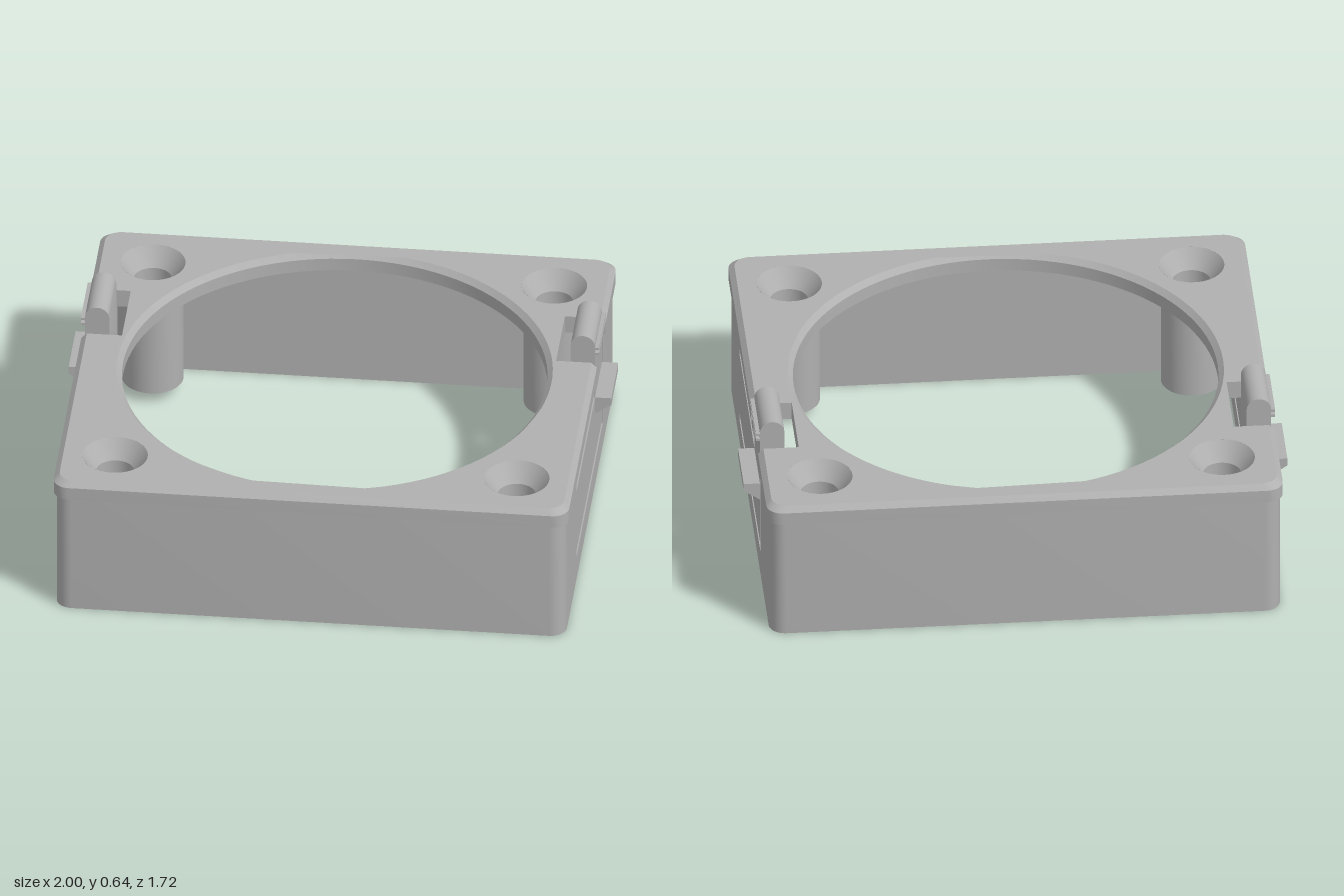
import * as THREE from 'three';
import { toCreasedNormals } from 'three/addons/utils/BufferGeometryUtils.js';

const plastic = new THREE.MeshStandardMaterial({ color: 0xb0b0b0 });
plastic.name = 'grey plastic';

function part(name, geometry, parent) {
  const mesh = new THREE.Mesh(toCreasedNormals(geometry, 0.5), plastic);
  mesh.name = name;
  parent.add(mesh);
  return mesh;
}

const polygon = (pts) => new THREE.Shape(pts.map(([x, y]) => new THREE.Vector2(x, y)));
const extrude = (shape, depth, steps = 1) =>
  new THREE.ExtrudeGeometry(shape, { depth, steps, bevelEnabled: false, curveSegments: 48 });

// Points on a quarter-turn (or longer) arc
function arc(cx, cy, r, from, to, n = 8) {
  return Array.from({ length: n + 1 }, (_, i) => {
    const a = from + ((to - from) * i) / n;
    return [cx + r * Math.cos(a), cy + r * Math.sin(a)];
  });
}

// Cover plate with side notches, fan opening, screw holes and a chamfered upper edge
function coverPlate() {
  const X = 0.95, Z = 0.86, R = 0.06, H = Math.PI / 2;
  const shape = polygon([
    ...arc(X - R, -Z + R, R, -H, 0),
    [X, 0.15], [0.8, 0.15], [0.8, 0.45], [X, 0.45],
    ...arc(X - R, Z - R, R, 0, H),
    ...arc(-X + R, Z - R, R, H, 2 * H),
    [-X, 0.45], [-0.8, 0.45], [-0.8, 0.15], [-X, 0.15],
    ...arc(-X + R, -Z + R, R, 2 * H, 3 * H),
  ]);
  const hole = (x, y, r) => shape.holes.push(new THREE.Path().absarc(x, y, r, 0, Math.PI * 2, true));
  hole(0, 0, 0.78);
  for (const x of [-0.74, 0.74]) for (const y of [-0.65, 0.65]) hole(x, y, 0.12);

  const g = extrude(shape, 0.07, 2);
  const p = g.attributes.position;
  for (let i = 0; i < p.count; i++) {
    let x = p.getX(i), y = p.getY(i);
    const z = p.getZ(i);
    if (z > 0.06) {
      if (Math.abs(Math.hypot(x, y) - 0.78) < 0.002) {
        x *= 0.8 / 0.78;
        y *= 0.8 / 0.78;
      } else {
        if (Math.abs(x) > 0.88) x -= 0.02 * Math.sign(x);
        if (Math.abs(y) > 0.79) y -= 0.02 * Math.sign(y);
      }
      p.setXY(i, x, y);
    } else if (z > 0.01) p.setZ(i, 0.05);
  }
  return g.rotateX(-Math.PI / 2).translate(0, 0.48, 0);
}

// End wall that wraps round both corners
function endWall() {
  const X = 0.94, Z = 0.85, R = 0.06, T = 0.06, E = 0.5;
  const shape = polygon([
    [-X, -E],
    ...arc(-X + R, -Z + R, R, Math.PI, Math.PI * 1.5),
    ...arc(X - R, -Z + R, R, Math.PI * 1.5, Math.PI * 2),
    [X, -E], [X - T, -E], [X - T, -Z + T], [-X + T, -Z + T], [-X + T, -E],
  ]);
  return extrude(shape, 0.48).rotateX(-Math.PI / 2);
}

// Side wall with the slots that free the springy arm
function sideWall(side) {
  const shape = polygon([
    [-0.5, 0], [0.5, 0], [0.5, 0.48], [-0.15, 0.48], [-0.15, 0.41], [0.45, 0.41],
    [0.45, 0.38], [-0.18, 0.38], [-0.18, 0.125], [0.45, 0.125], [0.45, 0.095],
    [-0.45, 0.095], [-0.45, 0.48], [-0.5, 0.48],
  ]);
  return extrude(shape, 0.06).rotateY(-Math.PI / 2).translate(side > 0 ? 0.94 : -0.88, 0, 0);
}

// Latch: tab with hook, grip ridges and a rounded top
function latch(side) {
  const pts = [
    [0.85, 0.125], [0.94, 0.125], [0.94, 0.31], [1, 0.35], [1, 0.38], [0.94, 0.38],
    [0.94, 0.565], [0.955, 0.565], [0.955, 0.575], [0.94, 0.575],
    [0.94, 0.587], [0.955, 0.587], [0.955, 0.597], [0.94, 0.597],
    ...arc(0.895, 0.6, 0.045, 0.02, Math.PI, 14),
  ];
  return extrude(polygon(pts.map(([x, y]) => [x * side, y])), 0.24).translate(0, 0, -0.42);
}

// Hollow screw post with a countersunk mouth
function screwPost() {
  const profile = [
    [0.07, 0.05], [0.113, 0.05], [0.113, 0.48], [0.12, 0.48],
    [0.12, 0.55], [0.07, 0.48], [0.07, 0.05],
  ].map(([x, y]) => new THREE.Vector2(x, y));
  return new THREE.LatheGeometry(profile, 40);
}

export function createModel() {
  const model = new THREE.Group();
  model.name = 'fanFrame';

  part('coverPlate', coverPlate(), model);
  part('backWall', endWall().rotateY(Math.PI), model);
  part('frontWall', endWall(), model);

  for (const side of [-1, 1]) {
    const label = side > 0 ? 'left' : 'right';
    part(label + 'SideWall', sideWall(side), model);
    part(label + 'Latch', latch(side), model);

    for (const end of [-1, 1]) {
      const corner = new THREE.Group();
      corner.name = label + (end > 0 ? 'Front' : 'Back') + 'ScrewPost';
      corner.position.set(0.74 * side, 0, 0.65 * end);
      part('post', screwPost(), corner);
      // Rib joining the post to the corner
      const rib = part('cornerRib', new THREE.BoxGeometry(0.12, 0.43, 0.07), corner);
      rib.position.set(0.112 * side, 0.265, 0.112 * end);
      rib.rotation.y = (-Math.PI / 4) * side * end;
      model.add(corner);
    }
  }
  return model;
}
